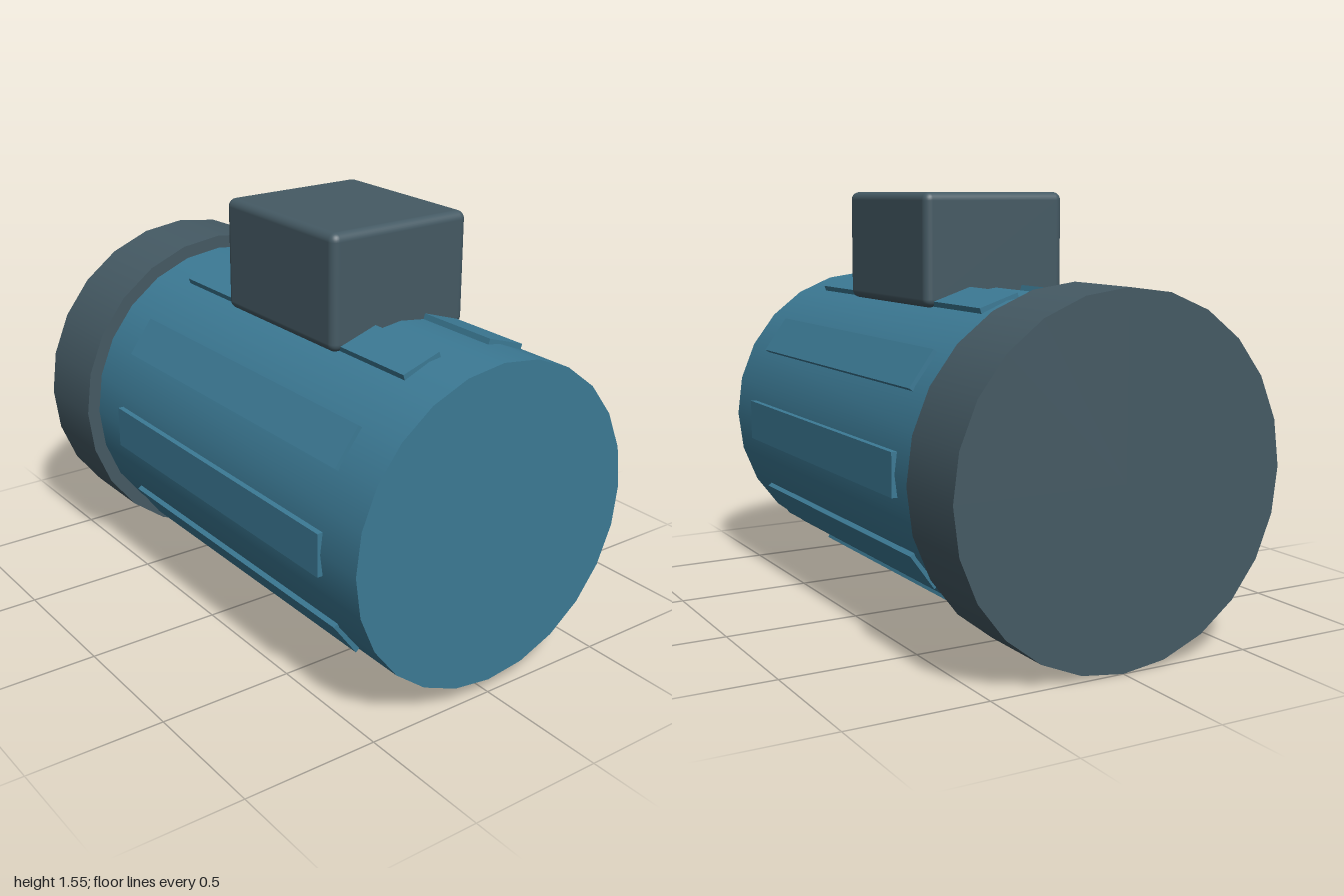
import * as THREE from 'three';
import { RoundedBoxGeometry } from 'three/addons/geometries/RoundedBoxGeometry.js';

const AXIS_Y = 0.63;

export function createModel() {
  const model = new THREE.Group();
  model.name = 'electricMotor';

  const blue = new THREE.MeshStandardMaterial({ color: 0x3c7a95 });
  blue.name = 'blue paint';
  const grey = new THREE.MeshStandardMaterial({ color: 0x455a64 });
  grey.name = 'dark grey';

  const add = (name, geometry, material, parent = model) => {
    const mesh = new THREE.Mesh(geometry, material);
    mesh.name = name;
    parent.add(mesh);
    return mesh;
  };

  // Cylinder lying along x between x0 and x1
  const drum = (name, radius, x0, x1, material) => {
    const geometry = new THREE.CylinderGeometry(radius, radius, x1 - x0, 24);
    geometry.rotateZ(-Math.PI / 2);
    add(name, geometry, material).position.set((x0 + x1) / 2, AXIS_Y, 0);
  };

  // Housing and the wider end cover
  drum('housing', 0.58, -0.7, 1, blue);
  drum('endCover', 0.63, -1, -0.69, grey);

  // Ten flat cooling ribs spaced evenly around the housing
  const ribs = new THREE.Group();
  ribs.name = 'coolingRibs';
  ribs.position.set(0.155, AXIS_Y, 0);
  model.add(ribs);
  const ribGeometry = new THREE.BoxGeometry(1.315, 0.155, 0.03);
  ribGeometry.translate(0, 0, 0.576);
  for (let i = 0; i < 10; i++) {
    add('coolingRib', ribGeometry, blue, ribs).rotation.x = (i * Math.PI) / 5;
  }

  // Terminal box on top
  add('terminalBox', new RoundedBoxGeometry(0.65, 0.41, 0.576, 4, 0.03), grey)
    .position.set(0.155, 1.35, 0);

  return model;
}
